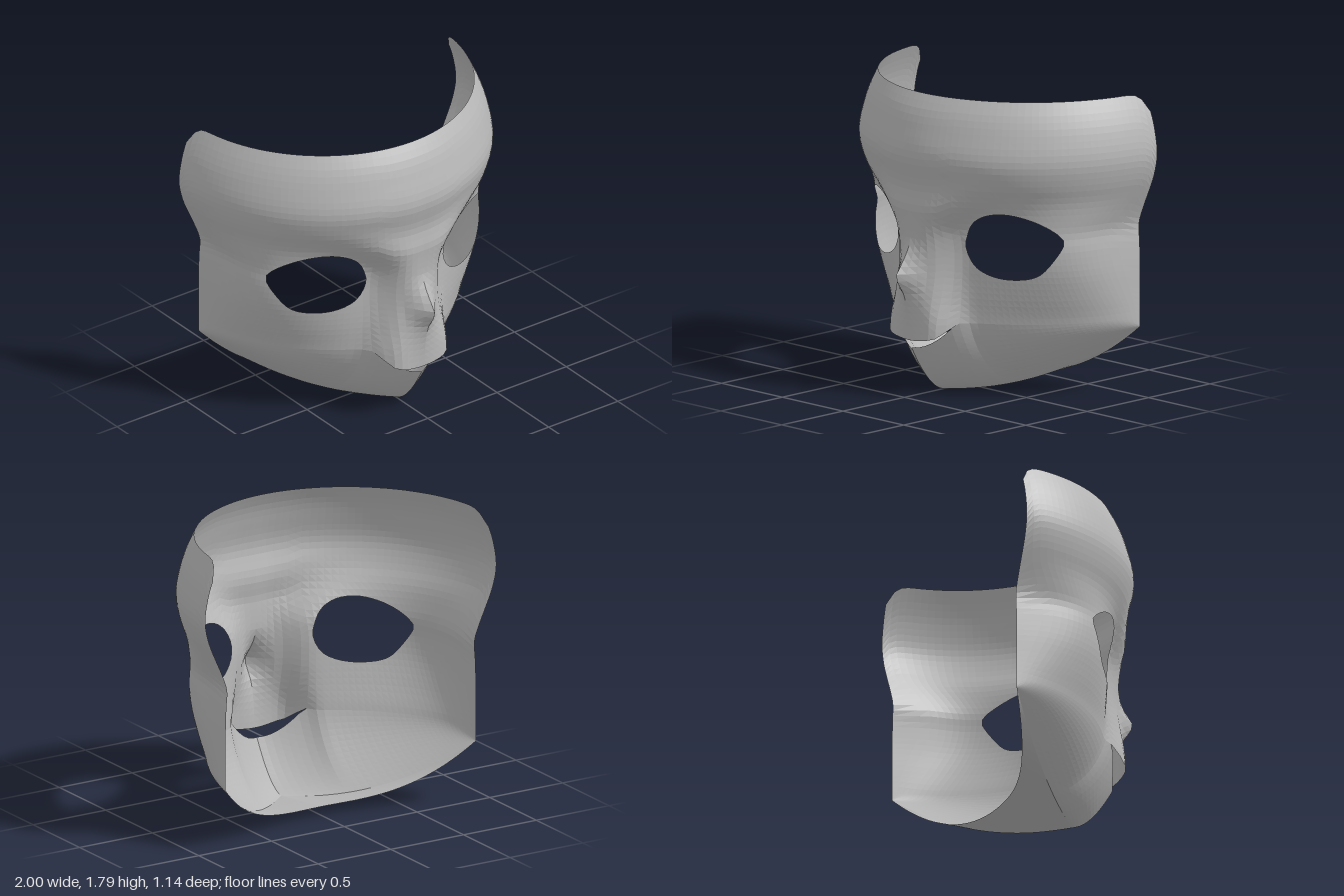
import * as THREE from 'three';

const { lerp, smoothstep } = THREE.MathUtils;
const BACK = -0.57;

// Smooth table lookup: rows of [y, ...values]
function table(rows) {
  const spline = new THREE.CubicInterpolant(
    rows.map(r => r[0]), rows.flatMap(r => r.slice(1)), rows[0].length - 1);
  return y => Array.from(spline.evaluate(y));
}

// Horizontal sections: height, half width, front depth, front and side curvature
const section = table([
  [0.33, 0.86, 0.35, 1.55, 0.6], [0.45, 0.86, 0.35, 1.5, 0.52], [0.6, 0.86, 0.34, 1.42, 0.38],
  [0.75, 0.86, 0.33, 1.34, 0.285], [0.9, 0.855, 0.325, 1.32, 0.25], [1.0, 0.85, 0.335, 1.32, 0.26],
  [1.1, 0.885, 0.365, 1.42, 0.32], [1.2, 0.93, 0.41, 1.68, 0.415], [1.3, 0.972, 0.455, 1.86, 0.465],
  [1.43, 1.0, 0.483, 1.96, 0.495], [1.6, 0.975, 0.445, 1.97, 0.5], [1.7, 0.94, 0.41, 1.97, 0.5],
  [1.79, 0.90, 0.36, 1.97, 0.5],
]);
// Muzzle and nose bridge: height, depth at the centre, half width, squareness
const bridge = table([
  [0.33, 0.462, 0.25, 6], [0.45, 0.46, 0.24, 5.5], [0.6, 0.455, 0.21, 4], [0.75, 0.445, 0.19, 3.5],
  [0.9, 0.445, 0.19, 3.5], [1.0, 0.45, 0.21, 3.5], [1.1, 0.46, 0.27, 3.2], [1.2, 0.475, 0.34, 3],
  [1.3, 0.485, 0.4, 3], [1.43, 0.485, 0.4, 3], [1.6, 0.445, 0.4, 3], [1.7, 0.41, 0.4, 3],
  [1.79, 0.36, 0.4, 3],
]);
// Narrow pointed nose: height, projection
const nose = table([
  [0.33, 0], [0.45, 0.012], [0.55, 0.03], [0.62, 0.055], [0.68, 0.1], [0.73, 0.122],
  [0.8, 0.075], [0.86, 0.035], [0.93, 0.005], [1.0, 0], [1.79, 0],
]);

function facePoint(sin, y) {
  const [w, front, n, q] = section(y);
  const [centre, bw, bn] = bridge(y);
  const x = w * sin, ax = Math.abs(x);
  let z = BACK + (front - BACK) * Math.pow(Math.max(0, 1 - Math.pow(Math.abs(sin), n)), q);
  z += (centre - z) * Math.exp(-Math.pow(ax / bw, bn)) * (y < 1.1 ? 1 : 1 - smoothstep(y, 1.1, 1.35));
  z += nose(y)[0] * Math.max(0, 1 - ax / 0.1);
  return new THREE.Vector3(x, y, z);
}

// Mouth line, seen from the upper lip and from the lower lip
const upperLip = ax => ax < 0.2
  ? 0.335 + 0.035 * (ax / 0.2) ** 2
  : 0.37 + 0.08 * smoothstep(ax, 0.2, 0.25);
const lowerLip = ax => ax < 0.25
  ? 0.285 + 0.165 * Math.pow(ax / 0.25, 1.9)
  : 0.45;

// Face sheet, from mouth line to top rim with rounded rear corners
function face(s, v) {
  const sin = Math.sin(s * Math.PI / 2), cos = Math.cos(s * Math.PI / 2);
  const top = 1.79 - 0.11 * Math.max(0, 1 - cos / 0.25) ** 6;
  return facePoint(sin, lerp(upperLip(Math.abs(sin) * 0.86), top, v));
}

// Jaw sheet, from throat edge over the jaw fold up to the mouth line
function jaw(s, v) {
  const sin = Math.sin(s * Math.PI / 2), cos = Math.cos(s * Math.PI / 2);
  const a = Math.abs(sin), x = 0.86 * sin, ax = Math.abs(x);
  const fold = new THREE.Vector3(x, 0.39 * Math.pow(a, 2.15), lerp(0.18, BACK, a));
  if (v < 0.3) {
    const throat = new THREE.Vector3(x, 0.06 + 0.33 * a ** 3, BACK + 0.3 * cos * cos);
    return throat.lerp(fold, v / 0.3);
  }
  const lip = facePoint(sin, lowerLip(ax));
  if (ax < 0.25) lip.z = lerp(0.44, facePoint(0.25 / 0.86, 0.45).z, ax / 0.25);
  lip.x = x;
  const side = Math.min(1, a * 2.5);
  const bulge = new THREE.Vector3(x, lerp(fold.y, lip.y, lerp(0.07, 0.33, side)),
    lerp(fold.z, lip.z, lerp(0.46, 0.8, side)));
  return new THREE.QuadraticBezierCurve3(fold, bulge, lip).getPoint((v - 0.3) / 0.7);
}

// Eye opening as radius by angle around its centre
const EYE = [0.525, 0.93];
const eyeRadii = new THREE.CatmullRomCurve3([
  [0.28, 0.93], [0.29, 0.86], [0.335, 0.79], [0.42, 0.745], [0.54, 0.728], [0.66, 0.755], [0.735, 0.85],
  [0.77, 0.955], [0.735, 1.02], [0.65, 1.085], [0.53, 1.12], [0.42, 1.105], [0.33, 1.045],
].map(([x, y]) => new THREE.Vector3(x - EYE[0], y - EYE[1], 0)), true)
  .getPoints(90).map(p => [Math.atan2(p.y, p.x), p.length()]).sort((p, q) => p[0] - q[0]);

function outsideEye(p) {
  const dx = Math.abs(p.x) - EYE[0], dy = p.y - EYE[1];
  const angle = Math.atan2(dy, dx), n = eyeRadii.length;
  let i = eyeRadii.findIndex(r => r[0] > angle);
  if (i < 0) i = 0;
  const [a0, r0] = eyeRadii[(i + n - 1) % n], [a1, r1] = eyeRadii[i];
  const t = a1 > a0 ? (angle - a0) / (a1 - a0) : 0.5;
  return Math.hypot(dx, dy) - lerp(r0, r1, t);
}

// Grid of points made into triangles, trimmed where keep(p) is negative
function sheet(point, columns, rows, keep) {
  const out = [];
  const grid = Array.from({ length: rows + 1 }, (_, j) =>
    Array.from({ length: columns + 1 }, (_, i) => point(i / columns * 2 - 1, j / rows)));
  const addTriangle = tri => {
    const d = tri.map(keep), poly = [];
    tri.forEach((p, k) => {
      const m = (k + 1) % 3;
      if (d[k] >= 0) poly.push(p);
      if (d[k] >= 0 !== d[m] >= 0) poly.push(p.clone().lerp(tri[m], d[k] / (d[k] - d[m])));
    });
    for (let k = 2; k < poly.length; k++)
      for (const p of [poly[0], poly[k - 1], poly[k]]) out.push(p.x, p.y, p.z);
  };
  for (let j = 0; j < rows; j++) {
    for (let i = 0; i < columns; i++) {
      const a = grid[j][i], b = grid[j][i + 1], c = grid[j + 1][i + 1], d = grid[j + 1][i];
      // Mirror the diagonals about the centre line
      if (i < columns / 2) { addTriangle([a, b, c]); addTriangle([a, c, d]); }
      else { addTriangle([a, b, d]); addTriangle([b, c, d]); }
    }
  }
  const geometry = new THREE.BufferGeometry();
  geometry.setAttribute('position', new THREE.Float32BufferAttribute(out, 3));
  geometry.computeVertexNormals();
  return geometry;
}

export function createModel() {
  const group = new THREE.Group();
  group.name = 'mask';
  const grey = new THREE.MeshStandardMaterial({
    color: 0xb8b8b8, flatShading: true, side: THREE.DoubleSide });
  grey.name = 'mask grey';

  const upper = new THREE.Mesh(sheet(face, 72, 36, outsideEye), grey);
  upper.name = 'face';
  const lower = new THREE.Mesh(sheet(jaw, 72, 20, () => 1), grey);
  lower.name = 'jaw';
  group.add(upper, lower);
  return group;
}
